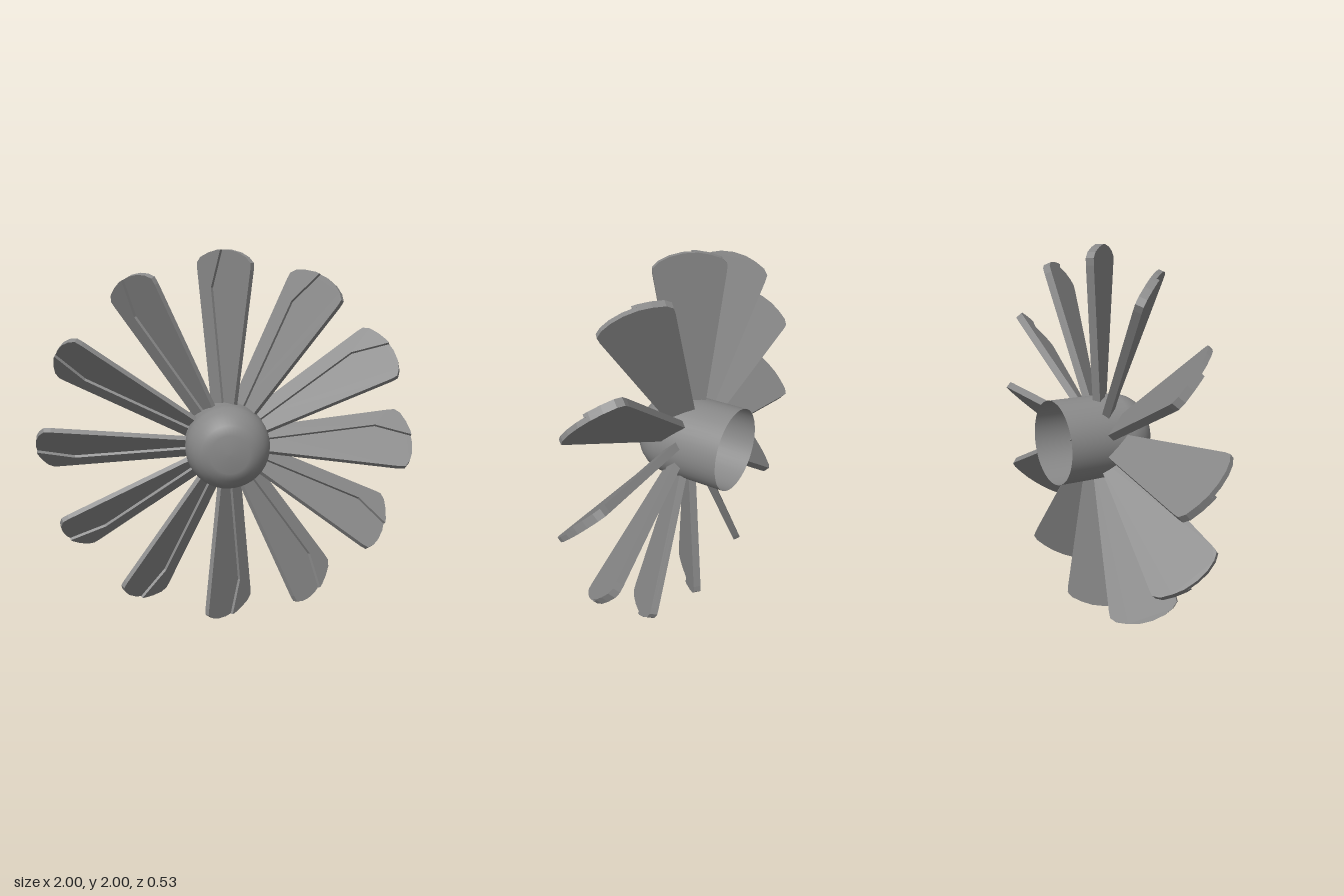
import * as THREE from 'three';

const BLADES = 12;
const PITCH = THREE.MathUtils.degToRad(48);

const shapeFrom = (pts) => new THREE.Shape(pts.map(([r, c]) => new THREE.Vector2(r, c)));
const plate = (pts, depth) =>
  new THREE.ExtrudeGeometry(shapeFrom(pts), { depth, bevelEnabled: false });

export function createModel() {
  const model = new THREE.Group();
  model.name = 'fanRotor';
  const grey = new THREE.MeshStandardMaterial({ color: 0x888888, side: THREE.DoubleSide });
  grey.name = 'grey';

  // everything spins around the z axis at y = 1
  const rotor = new THREE.Group();
  rotor.name = 'rotor';
  rotor.position.y = 1;
  model.add(rotor);

  // hub: thin shell, open at the back, domed at the front
  const profile = [
    [0.222, -0.265], [0.222, 0.1], [0.217, 0.135], [0.203, 0.175],
    [0.18, 0.21], [0.146, 0.243], [0.1, 0.265], [0, 0.267],
  ].map(([r, z]) => new THREE.Vector2(r, z));
  const hub = new THREE.Mesh(new THREE.LatheGeometry(profile, 40).rotateX(Math.PI / 2), grey);
  hub.name = 'hub';
  rotor.add(hub);

  // blade outline: radius along x, chord along y
  const tip = [
    [0.9, 0.172], [0.935, 0.174], [0.963, 0.148], [0.985, 0.09], [0.998, 0.03],
  ];
  const lowerTip = [
    [0.998, -0.04], [0.985, -0.105], [0.963, -0.155], [0.935, -0.187], [0.9, -0.186],
  ];
  const bladeGeo = plate([[0.1, -0.06], [0.1, 0.06], ...tip, ...lowerTip], 0.026);

  // raised panel covering the trailing half, with a bent inner edge
  const panelGeo = plate(
    [[0.1, -0.02], [0.1, 0.06], ...tip, [0.999, 0.005], [0.81, 0.072]], 0.016);
  panelGeo.translate(0, 0, 0.025);

  for (let i = 0; i < BLADES; i++) {
    const spoke = new THREE.Group();
    spoke.name = `blade${i + 1}`;
    spoke.rotation.z = (i / BLADES) * Math.PI * 2;
    const pitched = new THREE.Group();
    pitched.name = 'pitchedBlade';
    pitched.rotation.x = -PITCH;
    const blade = new THREE.Mesh(bladeGeo, grey);
    blade.name = 'bladePlate';
    const panel = new THREE.Mesh(panelGeo, grey);
    panel.name = 'raisedPanel';
    pitched.add(blade, panel);
    spoke.add(pitched);
    rotor.add(spoke);
  }
  return model;
}
